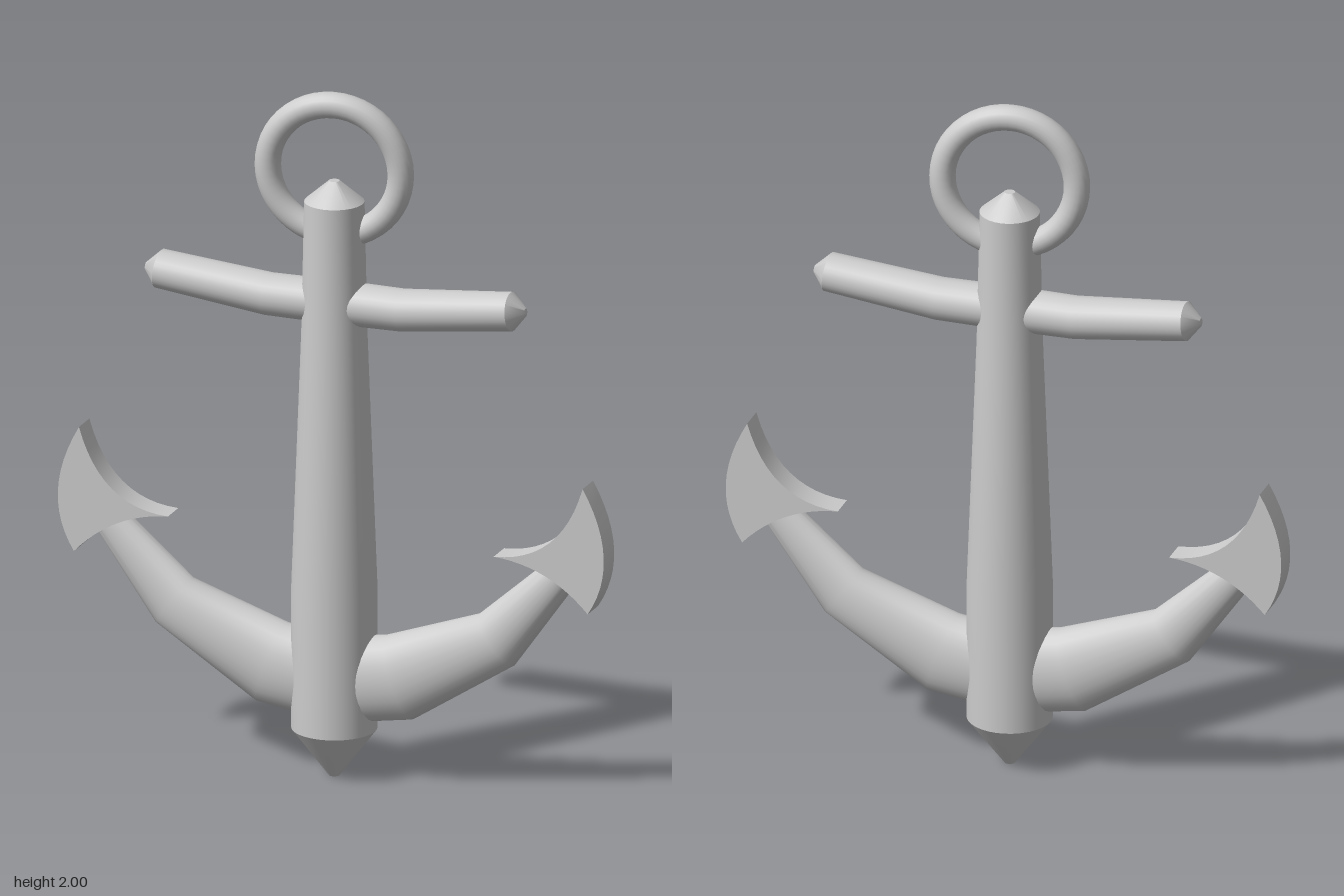
import * as THREE from 'three';
import { toCreasedNormals } from 'three/addons/utils/BufferGeometryUtils.js';

const material = new THREE.MeshStandardMaterial({ color: 0xcccccc });
const SHANK_X = -0.005;

// Symmetric bar lofted through elliptical rings; half = [x, y, radius in plane, radius in z] from centre to tip
function mirroredBar(half, sides = 28) {
  const rings = [...half.slice(1).reverse().map(([x, ...r]) => [-x, ...r]), ...half];
  const last = rings.length - 1;
  const positions = [], index = [];
  rings.forEach(([x, y, r, rz], i) => {
    const a = rings[Math.max(i - 1, 0)], b = rings[Math.min(i + 1, last)];
    const t = new THREE.Vector2(b[0] - a[0], b[1] - a[1]).normalize();
    for (let j = 0; j < sides; j++) {
      const angle = (j / sides) * Math.PI * 2;
      const c = Math.cos(angle) * r;
      positions.push(x - t.y * c, y + t.x * c, Math.sin(angle) * rz);
    }
  });
  for (let i = 0; i < last; i++) {
    for (let j = 0; j < sides; j++) {
      const k = (j + 1) % sides;
      const a = i * sides + j, b = i * sides + k, c = a + sides, d = b + sides;
      index.push(a, b, c, b, d, c);
    }
  }
  const geometry = new THREE.BufferGeometry();
  geometry.setAttribute('position', new THREE.Float32BufferAttribute(positions, 3));
  geometry.setIndex(index);
  return toCreasedNormals(geometry, 0.6);
}

// Pointed crescent blade, side = 1 or -1
function flukeGeometry(side) {
  const shape = new THREE.Shape();
  shape.moveTo(side * 0.75, 0.94);
  shape.quadraticCurveTo(side * 0.868, 0.735, side * 0.765, 0.575);
  shape.quadraticCurveTo(side * 0.65, 0.70, side * 0.485, 0.71);
  shape.quadraticCurveTo(side * 0.685, 0.715, side * 0.75, 0.94);
  const geometry = new THREE.ExtrudeGeometry(shape, { depth: 0.08, bevelEnabled: false, curveSegments: 12 });
  geometry.translate(0, 0, -0.04);
  return toCreasedNormals(geometry, 0.6);
}

export function createModel() {
  const group = new THREE.Group();
  const add = (name, geometry) => {
    const mesh = new THREE.Mesh(geometry, material);
    mesh.name = name;
    group.add(mesh);
    return mesh;
  };

  // Tapered shank with pointed foot and blunt head
  const profile = [[0, 0], [0.015, 0], [0.12, 0.14], [0.12, 0.55], [0.092, 1.3], [0.084, 1.68], [0.015, 1.74], [0, 1.74]];
  const shank = new THREE.LatheGeometry(profile.map(([r, y]) => new THREE.Vector2(r, y)), 32);
  add('shank', toCreasedNormals(shank, 0.6)).position.x = SHANK_X;

  // Cross bar, ends lifted slightly
  add('stock', mirroredBar([
    [0, 1.385, 0.062, 0.066], [0.2, 1.385, 0.06, 0.064], [0.525, 1.42, 0.055, 0.059],
    [0.565, 1.422, 0.012, 0.012], [0.567, 1.422, 0, 0],
  ]));

  // Curved lower arms
  add('arms', mirroredBar([
    [0, 0.28, 0.125, 0.078], [0.19, 0.31, 0.125, 0.075], [0.48, 0.455, 0.087, 0.058],
    [0.68, 0.68, 0.05, 0.036], [0.7, 0.7, 0, 0],
  ]));

  // Blades on the arm ends
  add('leftFluke', flukeGeometry(1));
  add('rightFluke', flukeGeometry(-1));

  // Ring through the head, slightly turned
  const ring = add('ring', new THREE.TorusGeometry(0.191, 0.037, 20, 48));
  ring.position.set(SHANK_X, 1.772, 0);
  ring.rotation.set(0.04, 0.11, 0);

  return group;
}
